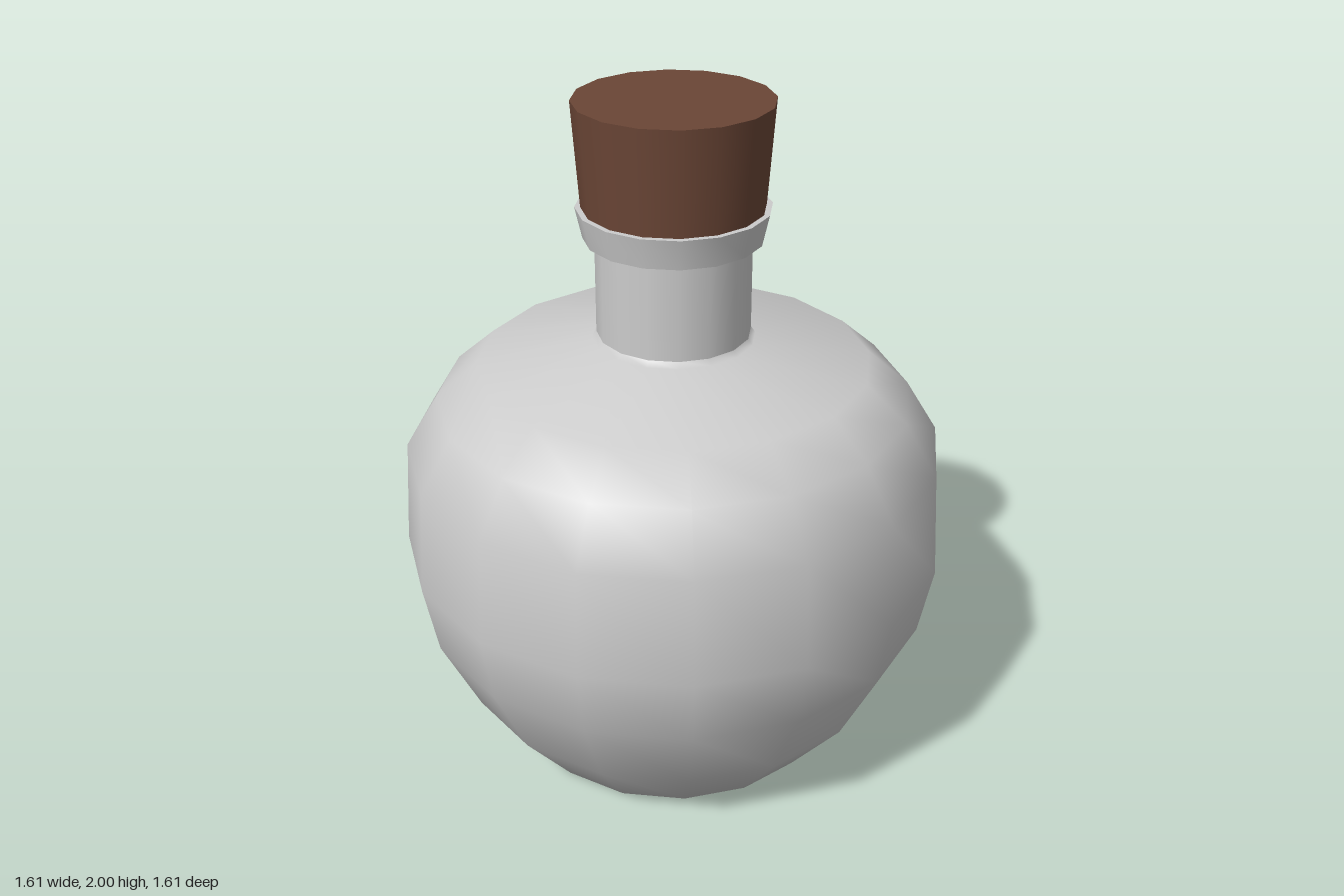
import * as THREE from 'three';
import { toCreasedNormals } from 'three/addons/utils/BufferGeometryUtils.js';

const SIDES = 16;

// Revolve a [radius, height] profile, listed from bottom to top on the outside
const revolve = (profile) =>
  new THREE.LatheGeometry(profile.map(([r, y]) => new THREE.Vector2(r, y)), SIDES);

export function createModel() {
  const group = new THREE.Group();
  const glass = new THREE.MeshStandardMaterial({ color: 0xcccccc });
  const corkMaterial = new THREE.MeshStandardMaterial({ color: 0x6b4636 });

  const add = (name, geometry, material) => {
    const mesh = new THREE.Mesh(geometry, material);
    mesh.name = name;
    group.add(mesh);
    return mesh;
  };

  // Round belly with flat base and sloping shoulder, smooth all over
  add('body', revolve([
    [0, 0], [0.48, 0], [0.65, 0.21], [0.765, 0.45], [0.805, 0.66],
    [0.785, 0.975], [0.69, 1.13], [0.57, 1.235], [0.235, 1.308], [0.222, 1.325],
  ]), glass);

  // Straight neck
  add('neck', revolve([[0.222, 1.325], [0.222, 1.62]]), glass);

  // Flared collar around the mouth, with sharp rims
  add('collar', toCreasedNormals(revolve([
    [0.21, 1.61], [0.255, 1.61], [0.275, 1.70], [0.245, 1.70],
  ]), 0.6), glass);

  // Tapered stopper
  const cork = add('cork', new THREE.CylinderGeometry(0.28, 0.257, 0.32, SIDES), corkMaterial);
  cork.position.y = 1.84;

  return group;
}
